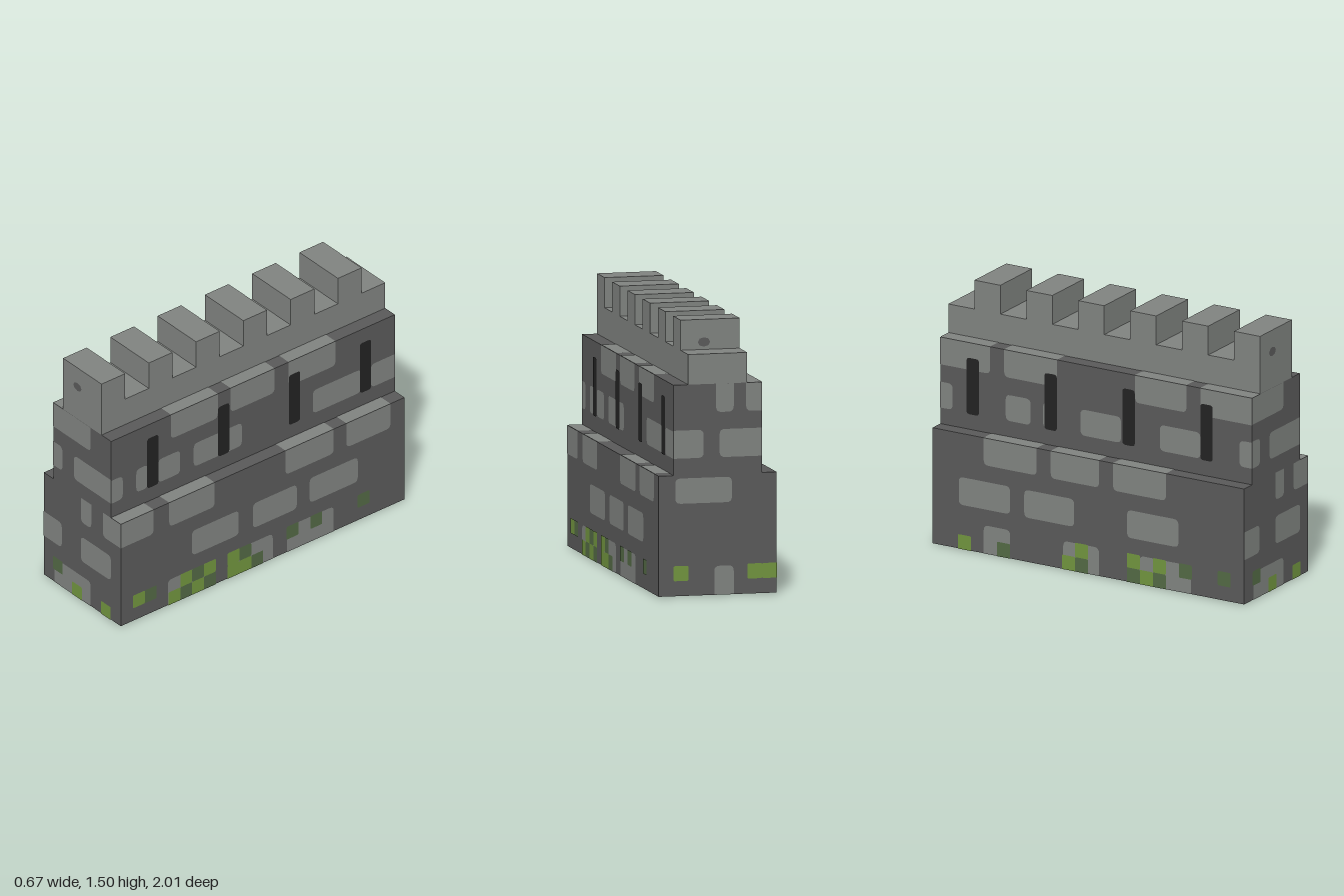
import * as THREE from 'three';

const mat = (name, color, opts = {}) => {
  const m = new THREE.MeshStandardMaterial({ color, ...opts });
  m.name = name;
  return m;
};

export function createModel() {
  const lightStone = mat('lightStone', 0x7f827f);
  const darkStone = mat('darkStone', 0x595959);
  const moss = mat('moss', 0x70933e);
  const darkMoss = mat('darkMoss', 0x526844);
  const slitBlack = mat('slitBlack', 0x222222);

  const model = new THREE.Group();
  model.name = 'castleWall';

  const add = (parent, name, geo, material, x = 0, y = 0, z = 0) => {
    const m = new THREE.Mesh(geo, material);
    m.name = name;
    m.position.set(x, y, z);
    parent.add(m);
    return m;
  };
  const block = (name, material, w, y0, y1, z0, z1) =>
    add(model, name, new THREE.BoxGeometry(w, y1 - y0, z1 - z0), material, 0, (y0 + y1) / 2, (z0 + z1) / 2);

  // Stepped wall body
  const T = 2 / 3, M = 7 / 6, c = 1 / 12;
  block('lowerWall', darkStone, 2 / 3, 0, T, -1, 1);
  block('middleWall', darkStone, 0.5, T, M, -1, 1);
  block('parapet', lightStone, 1 / 3, M, 4 / 3, -1, 1);
  for (let i = 0; i < 6; i++) {
    const z1 = 1 - i / 3;
    block('merlon', lightStone, 1 / 3, 4 / 3, 1.5, z1 - 1 / 6, z1);
  }

  // Rectangle with rounded corners, kept square where it meets the face border
  const patchShape = (u0, u1, v0, v1, half, bottom, top, r) => {
    const near = (a, b) => Math.abs(a - b) < 0.005;
    const el = near(u0, -half), er = near(u1, half), eb = near(v0, bottom), et = near(v1, top);
    const a = el || eb ? 0 : r, b = er || eb ? 0 : r, d = er || et ? 0 : r, e = el || et ? 0 : r;
    const s = new THREE.Shape();
    s.moveTo(u0 + a, v0);
    s.lineTo(u1 - b, v0);
    if (b) s.quadraticCurveTo(u1, v0, u1, v0 + b);
    s.lineTo(u1, v1 - d);
    if (d) s.quadraticCurveTo(u1, v1, u1 - d, v1);
    s.lineTo(u0 + e, v1);
    if (e) s.quadraticCurveTo(u0, v1, u0, v1 - e);
    s.lineTo(u0, v0 + a);
    if (a) s.quadraticCurveTo(u0, v0, u0 + a, v0);
    return s;
  };

  // One wall face with a helper that lays patches on it and wraps them over ledges and base
  const face = (name, rotY, dist, half, bottom, top, ledge) => {
    const g = new THREE.Group();
    g.name = name;
    g.rotation.y = rotY;
    model.add(g);
    return (partName, material, list, lift = 0.002, r = 0.03) => {
      for (const [a, b, v0, v1] of list) {
        const u0 = Math.min(a, b), u1 = Math.max(a, b), w = u1 - u0, mid = (u0 + u1) / 2;
        add(g, partName, new THREE.ShapeGeometry(patchShape(u0, u1, v0, v1, half, bottom, top, r), 4), material, 0, 0, dist + lift);
        if (ledge && Math.abs(v1 - top) < 0.005)
          add(g, partName + 'Top', new THREE.PlaneGeometry(w, c), material, mid, top + lift, dist - c / 2).rotation.x = -Math.PI / 2;
        if (v0 === 0)
          add(g, partName + 'Base', new THREE.PlaneGeometry(w, 0.04), material, mid, -lift, dist - 0.02).rotation.x = Math.PI / 2;
      }
    };
  };

  // Side faces take z ranges; sign converts z into the face's own horizontal axis
  const side = (name, sx, half, bottom, top) => {
    const put = face(name, sx * Math.PI / 2, half, 1, bottom, top, true);
    return (n, m, list, lift, r) => put(n, m, list.map(([a, b, v0, v1]) => [-sx * a, -sx * b, v0, v1]), lift, r);
  };
  const row = (v0, v1, ...spans) => spans.map(([a, b]) => [a, b, v0, v1]);
  // Moss squares on a grid: [start of span, row]
  const cells = (list) => list.map(([k, j]) => [k * c, (k + 1) * c, j * c, (j + 1) * c]);

  // Left side (+x)
  const ll = side('lowerLeftFace', 1, 1 / 3, 0, T);
  ll('stone', lightStone, [
    ...row(0.51, T, [1, 0.77], [0.66, 0.34], [-0.16, -0.5], [-0.59, -0.9]),
    ...row(0.255, 0.415, [0.5, 0.17], [0.07, -0.24], [-0.33, -0.67]),
    ...row(0, 0.163, [0.67, 0.34], [0.24, -0.07], [-0.17, -0.5])]);
  ll('moss', moss, cells([[10, 1], [7, 0], [6, 1], [5, 0], [4, 1], [2, 0], [2, 1], [1, 0]]), 0.004, 0.008);
  ll('darkMoss', darkMoss, cells([[9, 1], [6, 0], [5, 1], [4, 0], [1, 1], [0, 0], [-3, 1], [-5, 1], [-9, 1]]), 0.004, 0.008);
  const ml = side('middleLeftFace', 1, 0.25, T, M);
  ml('stone', lightStone, [
    ...row(1.01, M, [0.58, 0.25], [0.16, -0.15], [-0.25, -0.58]),
    ...row(0.76, 0.91, [1, 0.92], [0.825, 0.74], [0.67, 0.515], [0.42, 0.08], [-0.42, -0.76], [-0.83, -1])]);

  // Right side (-x)
  const lr = side('lowerRightFace', -1, 1 / 3, 0, T);
  lr('stone', lightStone, [
    ...row(0.51, T, [-0.67, -0.33], [-0.24, 0.07], [0.16, 0.5]),
    ...row(0.255, 0.415, [-0.83, -0.5], [-0.41, -0.09], [0.25, 0.58]),
    ...row(0, 0.163, [-0.67, -0.5], [-0.16, 0.07], [0.33, 0.66])]);
  lr('moss', moss, cells([[-10, 0], [-1, 1], [-2, 0], [3, 1], [4, 0], [5, 1]]), 0.004, 0.008);
  lr('darkMoss', darkMoss, cells([[-7, 0], [-1, 0], [3, 0], [5, 0], [7, 1], [10, 1]]), 0.004, 0.008);
  const mr = side('middleRightFace', -1, 0.25, T, M);
  mr('stone', lightStone, [
    ...row(1.01, M, [-1, -0.68], [-0.59, -0.25], [0.25, 0.58], [0.67, 1]),
    ...row(0.76, 0.91, [-1, -0.92], [-0.58, -0.42], [-0.34, -0.25], [-0.1, 0.16], [0.41, 0.67], [0.92, 1])]);

  // Arrow slits on both sides
  for (const put of [ml, mr])
    put('arrowSlit', slitBlack, row(0.755, 1.08, ...[0.71, 0.21, -0.29, -0.79].map((z) => [z - 0.04, z + 0.04])), 0.004, 0.02);

  // Front face
  const lf = face('lowerFrontFace', 0, 1, 1 / 3, 0, T);
  lf('stone', lightStone, [
    ...row(0.51, T, [-0.01, 0.08], [0.18, 1 / 3]),
    ...row(0.255, 0.415, [-1 / 3, -0.175], [-0.01, 0.25]),
    ...row(0, 0.157, [-0.24, 0.075])]);
  lf('moss', moss, cells([[-1, 0], [2, 0]]), 0.004, 0.008);
  lf('darkMoss', darkMoss, cells([[-3, 1]]), 0.004, 0.008);
  face('middleFrontFace', 0, 1, 0.25, T, M)('stone', lightStone, [
    ...row(0.76, 0.915, [-0.25, -0.17], [-0.07, 0.25]),
    ...row(1.013, M, [-0.25, 0.075])]);

  // Back face, listed in its own mirrored horizontal axis (-x)
  const lb = face('lowerBackFace', Math.PI, 1, 1 / 3, 0, T);
  lb('stone', lightStone, [
    ...row(0.51, 0.65, [-0.24, 0.08]),
    ...row(0, 0.16, [-0.02, 0.09])]);
  lb('moss', moss, cells([[-3, 1], [2, 1], [3, 1]]), 0.004, 0.008);
  face('middleBackFace', Math.PI, 1, 0.25, T, M)('stone', lightStone, [
    ...row(0.76, 0.915, [-0.25, -0.08], [0.01, 0.25]),
    ...row(1.01, M, [-0.01, 0.09], [0.16, 0.25])]);

  // Small dark chips on the end merlons
  const chip = (x, y, z, rotY) => {
    const m = add(model, 'merlonChip', new THREE.CircleGeometry(0.035, 8), darkStone, x, y, z);
    m.scale.y = 0.75;
    m.rotation.y = rotY;
  };
  chip(-0.04, 1.377, 1.002, 0);
  chip(0.035, 1.375, -0.835, Math.PI);

  // Underside
  add(model, 'underside', new THREE.PlaneGeometry(0.587, 1.92), lightStone, 0, -0.001, 0).rotation.x = Math.PI / 2;

  return model;
}
